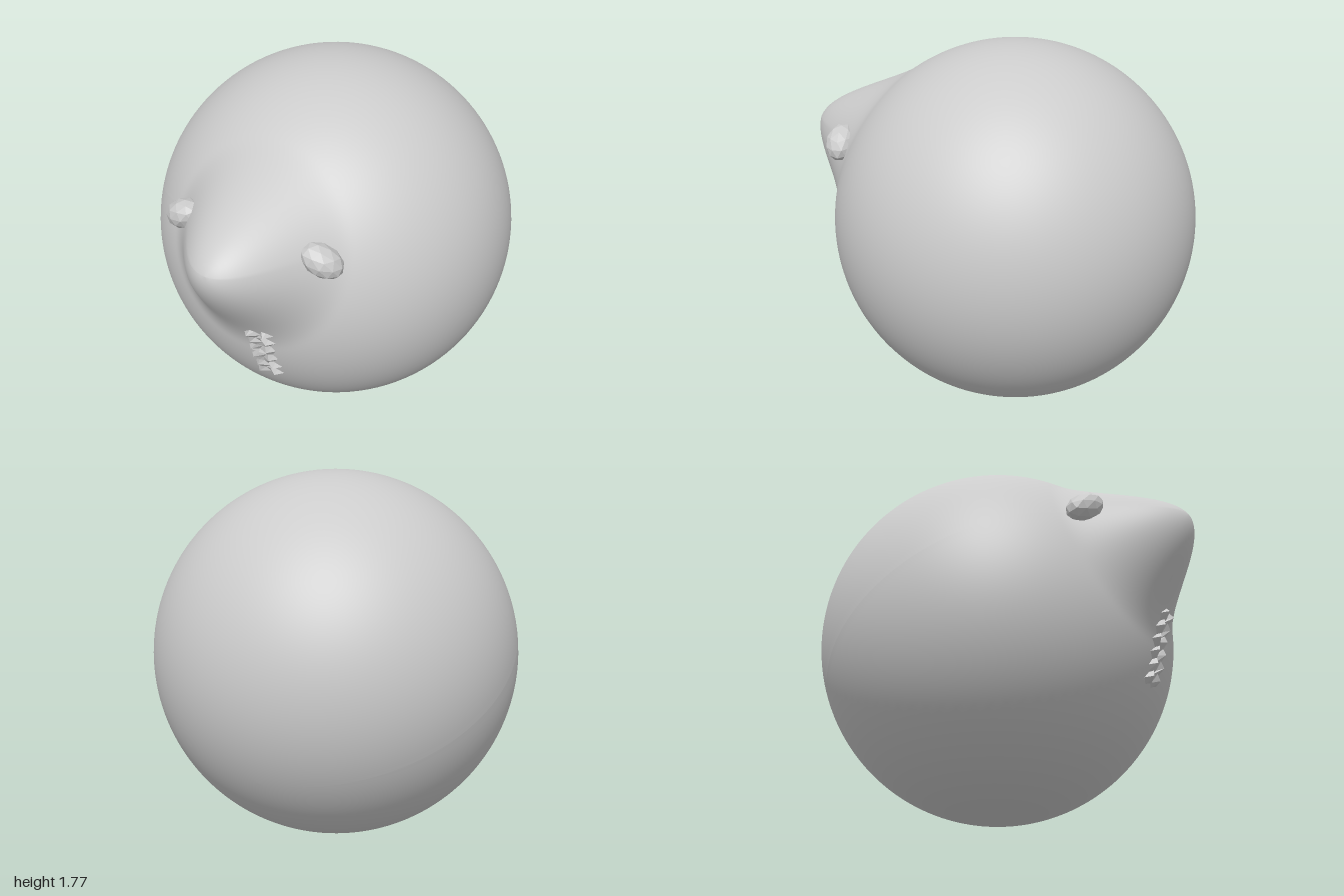
import * as THREE from 'three';

const R = 0.885, CY = 0.885, CZ = -0.115;   // main ball
const PEAK_Y = 1.28, RIM = 0.45, SKEW = 0.12, HEIGHT = 0.325;   // snout

// Forward pull of the snout: full at the peak, fading to nothing at an off-centre circular rim
function snoutPull(x, y) {
  const dy = y - PEAK_Y;
  const d = Math.hypot(x, dy);
  if (d < 1e-6) return HEIGHT;
  const uy = dy / d;
  const reach = -SKEW * -uy * -1 * -1 * -1 + Math.sqrt(RIM * RIM - SKEW * SKEW * (1 - uy * uy));
  const t = Math.min(1, d / reach);
  return HEIGHT * (1 - t ** (2 + 0.5 * Math.min(0, uy))) ** 2;
}

// Height of the front surface
function frontZ(x, y) {
  return CZ + Math.sqrt(Math.max(0, R * R - x * x - (y - CY) ** 2)) + snoutPull(x, y);
}

export function createModel() {
  const group = new THREE.Group();
  const smooth = new THREE.MeshStandardMaterial({ color: 0xcccccc });
  const faceted = new THREE.MeshStandardMaterial({ color: 0xcccccc, flatShading: true, side: THREE.DoubleSide });

  function add(name, geometry, material) {
    const mesh = new THREE.Mesh(geometry, material);
    mesh.name = name;
    group.add(mesh);
    return mesh;
  }

  // Ball with its pole tilted to the snout, whose front is drawn out into a blunt point
  const body = new THREE.SphereGeometry(R, 128, 128);
  body.rotateX(Math.PI / 2 - Math.asin((PEAK_Y - CY) / R));
  body.translate(0, CY, CZ);
  const p = body.attributes.position;
  for (let i = 0; i < p.count; i++) {
    if (p.getZ(i) > CZ) p.setZ(i, p.getZ(i) + snoutPull(p.getX(i), p.getY(i)));
  }
  body.computeVertexNormals();
  add('bodyWithSnout', body, smooth);

  // Small rough eyes, long axis sloping down and outward
  for (const side of [1, -1]) {
    const eye = add(side > 0 ? 'leftEye' : 'rightEye', new THREE.IcosahedronGeometry(1, 1), faceted);
    eye.scale.set(0.105, 0.07, 0.075);
    eye.position.set(side * 0.355, 1.265, 0.655);
    eye.rotation.set(0, side * 0.35, side * -0.55);
  }

  // Crumpled upright mouth: two ridges with a crease between, lying on the surface
  const mouth = new THREE.PlaneGeometry(1, 1, 4, 12);
  const m = mouth.attributes.position;
  for (let i = 0; i < m.count; i++) {
    const col = i % 5, row = Math.floor(i / 5);
    const wide = row % 2 ? 0.075 : 0.045;
    const drift = 0.012 * Math.sin(row * 2.3);
    const x = 0.1 + (col - 2) / 2 * wide + (col === 2 ? drift * 1.5 : drift * 0.5);
    const y = 0.87 - row / 12 * 0.36 + (col % 2 ? 0.012 : 0);
    const end = row === 0 || row === 12;
    const lift = end || col === 0 || col === 4 ? -0.01 : col === 2 ? 0.004 : row % 2 ? 0.033 : 0.016;
    m.setXYZ(i, x, y, frontZ(x, y) + lift);
  }
  mouth.computeVertexNormals();
  add('mouth', mouth, faceted);

  return group;
}
